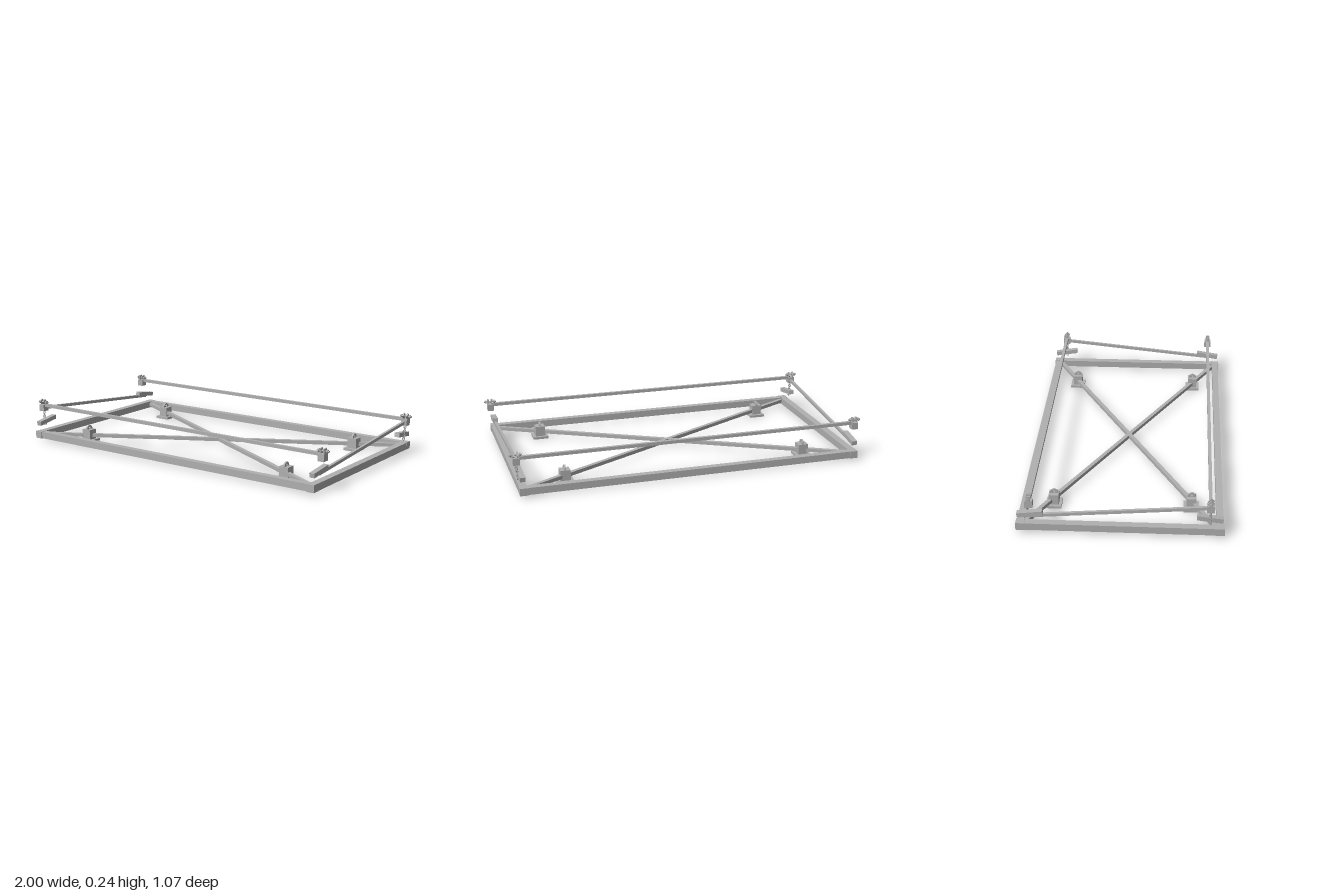
import * as THREE from 'three';

export function createModel() {
  const model = new THREE.Group();
  model.name = 'liftingFrame';
  const steel = new THREE.MeshStandardMaterial({ color: 0xb0b0b0 });
  steel.name = 'greySteel';

  function add(parent, name, geometry, x = 0, y = 0, z = 0) {
    const mesh = new THREE.Mesh(geometry, steel);
    mesh.name = name;
    mesh.position.set(x, y, z);
    parent.add(mesh);
    return mesh;
  }
  const box = (parent, name, w, h, d, x, y, z) =>
    add(parent, name, new THREE.BoxGeometry(w, h, d), x, y, z);

  // Square bar running between two points
  function bar(parent, name, from, to, w, h) {
    const a = new THREE.Vector3(...from);
    const b = new THREE.Vector3(...to);
    const mesh = add(parent, name, new THREE.BoxGeometry(w, h, a.distanceTo(b)));
    mesh.position.copy(a).add(b).multiplyScalar(0.5);
    mesh.lookAt(b);
    return mesh;
  }

  // Base frame with slightly larger corner blocks
  for (const s of [-1, 1]) {
    box(model, 'longBeam', 1.84, 0.039, 0.037, 0, 0.035, s * 0.5135);
    box(model, 'shortBeam', 0.04, 0.039, 1.0, s * 0.9395, 0.035, 0);
    for (const t of [-1, 1]) {
      box(model, 'cornerBlock', 0.045, 0.041, 0.046, s * 0.938, 0.035, t * 0.514);
    }
    // Crossed braces, upper rails and sloping side rods
    bar(model, 'crossBrace', [-0.925, 0.036, -s * 0.497], [0.925, 0.036, s * 0.497], 0.022, 0.02);
    box(model, 'upperRail', 1.9, 0.018, 0.018, 0, 0.2, s * 0.46);
    bar(model, 'sideRod', [s * 0.945, 0.097, s * 0.468], [s * 0.96, 0.183, -s * 0.448], 0.015, 0.017);
  }

  // Lifting eye plate with a hole
  const eye = new THREE.Shape();
  eye.moveTo(-0.023, 0);
  eye.lineTo(0.023, 0);
  eye.lineTo(0.021, 0.013);
  eye.lineTo(0.01, 0.022);
  eye.lineTo(0, 0.026);
  eye.lineTo(-0.01, 0.022);
  eye.lineTo(-0.021, 0.013);
  const hole = new THREE.Path();
  hole.absarc(0, 0.01, 0.007, 0, Math.PI * 2, true);
  eye.holes.push(hole);
  const eyeGeometry = new THREE.ExtrudeGeometry(eye, { depth: 0.01, bevelEnabled: false, curveSegments: 5 });
  eyeGeometry.translate(0, 0, -0.005);
  eyeGeometry.rotateY(Math.PI / 2);

  // Feet on the braces
  for (const sx of [-1, 1]) for (const sz of [-1, 1]) {
    const foot = new THREE.Group();
    foot.name = 'foot';
    foot.position.set(sx * 0.69, 0, sz * 0.366);
    box(foot, 'footPlate', 0.09, 0.014, 0.084, 0, 0.007, 0);
    box(foot, 'footBlock', 0.056, 0.058, 0.053, 0, 0.043, 0);
    add(foot, 'liftingEye', eyeGeometry, 0, 0.071, 0);
    model.add(foot);
  }

  // Leaning corner posts with clamps
  const pin = new THREE.CylinderGeometry(0.005, 0.005, 0.07, 8).rotateZ(Math.PI / 2);
  const nut = new THREE.CylinderGeometry(0.01, 0.01, 0.007, 6).rotateZ(Math.PI / 2);
  const link = new THREE.TorusGeometry(0.008, 0.0025, 5, 8);
  for (const sx of [-1, 1]) for (const sz of [-1, 1]) {
    const corner = new THREE.Group();
    corner.name = 'cornerPost';
    corner.position.z = sz * 0.461;
    model.add(corner);
    bar(corner, 'post', [sx * 0.928, 0.045, 0], [sx * 0.96, 0.175, 0], 0.03, 0.025);
    box(corner, 'postHead', 0.036, 0.039, 0.04, sx * 0.963, 0.185, 0);

    const clamp = new THREE.Group();
    clamp.name = 'clamp';
    clamp.position.set(sx * 0.965, 0.218, 0);
    clamp.rotation.x = sx * sz > 0 ? 0.12 : 0.7;
    for (const side of [-1, 1]) {
      box(clamp, 'clampPlate', 0.008, 0.028, 0.024, side * 0.011, 0, 0);
      add(clamp, 'clampNut', nut, side * 0.025, 0, 0);
    }
    add(clamp, 'clampPin', pin);
    corner.add(clamp);

    // Hanging chain on two opposite posts
    if (sx * sz < 0) {
      for (let i = 0; i < 7; i++) {
        const ring = add(corner, 'chainLink', link, sx * (0.962 - i * 0.001), 0.155 - i * 0.0115, 0);
        ring.scale.set(0.85, 1.05, 1);
        ring.rotation.y = Math.PI / 4 + (i % 2) * Math.PI / 2;
      }
    }
  }
  return model;
}
